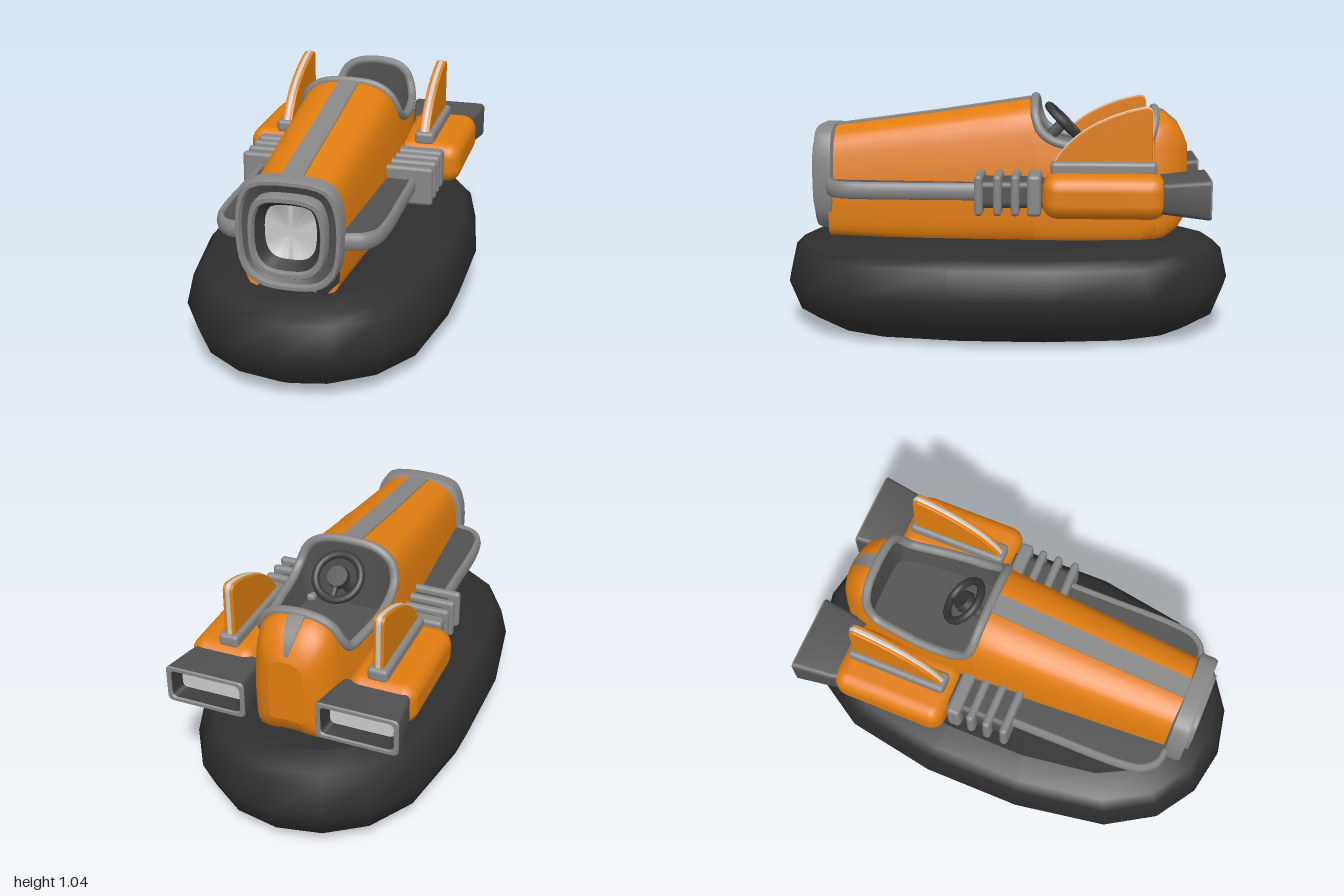
import * as THREE from 'three';
import { toCreasedNormals } from 'three/addons/utils/BufferGeometryUtils.js';
import { RoundedBoxGeometry } from 'three/addons/geometries/RoundedBoxGeometry.js';

const paint = (name, color) => {
  const m = new THREE.MeshStandardMaterial({ color, side: THREE.DoubleSide });
  m.name = name;
  return m;
};
const V = (x, y, z) => new THREE.Vector3(x, y, z);

// Linear lookup in rows sorted by falling z
function lookup(rows, z) {
  let i = 0;
  while (i < rows.length - 2 && z < rows[i + 1][0]) i++;
  const [a, b] = [rows[i], rows[i + 1]];
  const t = THREE.MathUtils.clamp((z - a[0]) / (b[0] - a[0]), 0, 1);
  return a.map((v, k) => v + (b[k] - v) * t);
}

// Skin through rings of points, with optional flat end caps
function loft(rings, { closed = true, capStart = false, capEnd = false } = {}) {
  const pos = [], idx = [], n = rings[0].length;
  rings.forEach(r => r.forEach(p => pos.push(p.x, p.y, p.z)));
  for (let i = 0; i < rings.length - 1; i++)
    for (let j = 0; j < (closed ? n : n - 1); j++) {
      const a = i * n + j, b = i * n + (j + 1) % n;
      idx.push(a, b, a + n, b, b + n, a + n);
    }
  const cap = (ring, flip) => {
    const start = pos.length / 3, c = V(0, 0, 0);
    ring.forEach(p => { c.addScaledVector(p, 1 / n); pos.push(p.x, p.y, p.z); });
    pos.push(c.x, c.y, c.z);
    for (let j = 0; j < n; j++) {
      const a = start + j, b = start + (j + 1) % n;
      idx.push(...(flip ? [b, a, start + n] : [a, b, start + n]));
    }
  };
  if (capStart) cap(rings[0], true);
  if (capEnd) cap(rings[rings.length - 1], false);
  const g = new THREE.BufferGeometry();
  g.setAttribute('position', new THREE.Float32BufferAttribute(pos, 3));
  g.setIndex(idx);
  g.computeVertexNormals();
  return g;
}

// Hull stations: z, half width, bottom, top
const HULL = [[.78, .2, .42, .89], [.3, .225, .4, .955], [-.13, .245, .4, 1.02], [-.4, .237, .4, 1.0],
  [-.6, .205, .4, .99], [-.7, .185, .42, .96], [-.76, .155, .46, .91], [-.79, .12, .5, .855], [-.805, .08, .54, .82]];
// Height of the cockpit edge along z
const EDGE = [[-.13, 1.02], [-.131, 1.01], [-.133, .985], [-.137, .95], [-.16, .89], [-.2, .855], [-.25, .835],
  [-.35, .82], [-.5, .815], [-.6, .82], [-.64, .87], [-.652, .92], [-.658, .955], [-.66, .972]];

// Half section of the hull from keel to cockpit edge or roof
function halfSection(z) {
  const [, w, b, t] = lookup(HULL, z), h = t - b;
  const curve = new THREE.CatmullRomCurve3([[0, 0], [.88, 0], [1, .25], [.96, .62], [.78, .9], [.4, .99], [0, 1]]
    .map(([x, y]) => V(x * w, b + y * h, z)));
  let end = 1;
  if (z < -.13 && z > -.66) {
    const y = lookup(EDGE, z)[1];
    let lo = .4;
    for (let k = 0; k < 25; k++) {
      const mid = (lo + end) / 2;
      if (curve.getPoint(mid).y < y) lo = mid; else end = mid;
    }
  }
  return Array.from({ length: 25 }, (_, i) => curve.getPoint(end * i / 24));
}
const flipX = p => V(-p.x, p.y, p.z);

export function createModel() {
  const orange = paint('orange paint', 0xe07c10), rubber = paint('black rubber', 0x2e2e2e);
  const grey = paint('grey trim', 0x868686), dark = paint('dark grey', 0x525252);
  const light = paint('light panel', 0xcacaca), black = paint('charcoal', 0x383838);
  const model = new THREE.Group();
  const add = (parent, name, geo, mat) => {
    const m = new THREE.Mesh(geo, mat);
    m.name = name;
    parent.add(m);
    return m;
  };
  const box = (parent, name, mat, size, at, r) => add(parent, name, new RoundedBoxGeometry(...size, 3, r), mat).position.set(...at);

  // Inflated skirt: a faceted oval that bulges at mid height
  const quarter = [[0, 1], [.21, .96], [.39, .84], [.52, .63], [.59, .22]];
  const half = [...quarter, ...quarter.slice(1).reverse().map(([x, z]) => [x, -z]), [0, -1]];
  const oval = [...half, ...half.slice(1, -1).reverse().map(([x, z]) => [-x, z])];
  const skirtRings = [[.41, .18], [.38, .07], [.34, .03], [.21, 0], [.08, .05], [0, .18]]
    .map(([y, s]) => oval.map(([x, z]) => V(x * (1 - s / .59), y, z * (1 - s))));
  add(model, 'skirt', loft(skirtRings, { capStart: true, capEnd: true }), rubber);

  // Hull shell, open over the cockpit
  const cockpitZ = EDGE.map(e => e[0]);
  const hullZ = [.78, .3, 0, ...cockpitZ, -.7, -.73, -.76, -.79, -.805];
  const hullRings = hullZ.map(z => {
    const s = halfSection(z);
    return [...s.slice().reverse(), ...s.slice(1).map(flipX)];
  });
  add(model, 'hull', loft(hullRings, { closed: false, capEnd: true }), orange);

  // Cockpit rim and tub
  const edge = cockpitZ.map(z => halfSection(z)[24]);
  const rimPath = new THREE.CatmullRomCurve3([...edge, ...edge.slice(1, -1).reverse().map(flipX)], true);
  add(model, 'cockpitRim', new THREE.TubeGeometry(rimPath, 120, .02, 8, true), grey);
  const tub = edge.map(p => {
    const side = [V(p.x * .97, p.y, p.z), V(p.x * .85, .7, p.z)];
    return [...side, ...side.slice().reverse().map(flipX)];
  });
  add(model, 'cockpitTub', toCreasedNormals(loft(tub, { closed: false }), .6), dark);

  // Steering wheel
  const wheel = new THREE.Group();
  wheel.name = 'steeringWheel';
  wheel.position.set(0, .91, -.26);
  wheel.rotation.x = -2.36;
  add(wheel, 'wheelRing', new THREE.TorusGeometry(.1, .018, 10, 32), black);
  const hub = add(wheel, 'wheelHub', new THREE.CylinderGeometry(.045, .05, .03, 20), black);
  hub.rotation.x = Math.PI / 2;
  box(wheel, 'wheelSpoke', black, [.025, .1, .02], [0, .05, 0], .008);
  const column = add(wheel, 'steeringColumn', new THREE.CylinderGeometry(.025, .025, .2, 12), dark);
  column.rotation.x = Math.PI / 2;
  column.position.z = -.11;
  model.add(wheel);

  // Centre stripes on hood and tail
  const stripe = (name, rows) => add(model, name, toCreasedNormals(loft(rows.map(([z, w]) => {
    const y = lookup(HULL, z)[3];
    return [V(w, y - .012, z), V(w, y + .006, z), V(-w, y + .006, z), V(-w, y - .012, z)];
  }), { capStart: true, capEnd: true }), .6), grey);
  stripe('hoodStripe', [[.78, .045], [.3, .045], [-.13, .045]]);
  stripe('tailStripe', [[-.66, .035], [-.7, .034], [-.76, .026], [-.795, .008]]);

  // Nose intake: nested rings from the outer collar to the bright panel
  const noseCurve = new THREE.CatmullRomCurve3([[0, 1], [.74, .9], [.93, .62], [1, .05], [.9, -.62], [.6, -.92],
    [0, -1], [-.6, -.92], [-.9, -.62], [-1, .05], [-.93, .62], [-.74, .9]].map(([x, y]) => V(x, y, 0)), true);
  const nosePts = noseCurve.getPoints(48).slice(0, 48);
  const nose = (name, mat, rows, capEnd = false) => add(model, name, toCreasedNormals(loft(
    rows.map(([s, z]) => nosePts.map(p => V(p.x * .22 * s, .665 + p.y * .237 * s, z))), { capEnd }), .7), mat);
  nose('noseCollar', grey, [[.9, .755], [1, .765], [1, .825], [.97, .84], [.91, .84], [.88, .82]]);
  nose('noseRecess', dark, [[.88, .82], [.7, .795]]);
  nose('noseInnerRing', grey, [[.73, .795], [.73, .85], [.71, .858], [.64, .858], [.61, .84]]);
  nose('noseThroat', black, [[.61, .84], [.49, .79]]);
  nose('nosePanel', light, [[.5, .792], [.49, .79]], true);

  // Everything on the left flank, mirrored afterwards
  const flank = new THREE.Group();
  flank.name = 'leftFlank';
  box(flank, 'enginePod', orange, [.3, .185, .52], [.352, .637, -.435], .065);
  [.095, .015, -.06, -.14].forEach((z, i) =>
    box(flank, 'podCollar', grey, [.28, .175, i === 3 ? .06 : .036], [.295, .637, z], .017));
  box(flank, 'podNeck', dark, [.22, .12, .3], [.29, .637, -.04], .03);

  // Side intake with a rail round its edge
  const railPath = new THREE.CatmullRomCurve3([[.345, -.1], [.345, .3], [.342, .6], [.325, .7], [.28, .752], [.2, .77]]
    .map(([x, z]) => V(x, 0, z)));
  const rail = add(flank, 'intakeRail', new THREE.TubeGeometry(railPath, 40, .018, 8), grey);
  rail.scale.y = 2.1;
  rail.position.y = .642;
  const panelShape = new THREE.Shape([new THREE.Vector2(.1, -.1),
    ...railPath.getPoints(24).map(p => new THREE.Vector2(p.x, p.z)), new THREE.Vector2(.1, .77)]);
  const panel = add(flank, 'intakePanel', new THREE.ExtrudeGeometry(panelShape, { depth: .05, bevelEnabled: false }), dark);
  panel.rotation.x = Math.PI / 2;
  panel.position.y = .667;

  // Tail fin with a light core showing along its edge
  const finShape = new THREE.Shape();
  finShape.moveTo(.22, .75);
  finShape.quadraticCurveTo(.27, .86, .4, .93);
  finShape.quadraticCurveTo(.51, .985, .61, 1.0);
  finShape.quadraticCurveTo(.632, 1.0, .632, .97);
  finShape.lineTo(.635, .75);
  const fin = (name, mat, depth, grow) => {
    const g = new THREE.ExtrudeGeometry(finShape, { depth, bevelThickness: .006, bevelSize: grow, bevelSegments: 2, curveSegments: 10 });
    g.translate(0, 0, -depth / 2);
    const m = add(flank, name, g, mat);
    m.rotation.y = Math.PI / 2;
    m.position.x = .328;
  };
  fin('fin', orange, .034, .004);
  fin('finEdge', light, .01, .008);
  box(flank, 'finBase', grey, [.09, .06, .45], [.33, .745, -.433], .018);

  // Exhaust nozzle: flared rounded rectangle with a bright inset
  const rect = (hw, hh, z) => {
    const pts = [], r = .022;
    [[1, 1], [-1, 1], [-1, -1], [1, -1]].forEach(([sx, sy], q) => {
      for (let k = 0; k <= 4; k++) {
        const a = (q + k / 4) * Math.PI / 2;
        pts.push(V(.33 + sx * (hw - r) + r * Math.cos(a), .637 + sy * (hh - r) + r * Math.sin(a), z));
      }
    });
    return pts;
  };
  const nozzle = (name, mat, rows, capEnd = false) =>
    add(flank, name, toCreasedNormals(loft(rows.map(r => rect(...r)), { capEnd }), .7), mat);
  nozzle('nozzle', dark, [[.145, .065, -.66], [.155, .068, -.7], [.176, .085, -.87]]);
  nozzle('nozzleLip', grey, [[.176, .085, -.87], [.172, .081, -.877], [.158, .067, -.877], [.154, .063, -.87]]);
  nozzle('nozzleThroat', black, [[.154, .063, -.87], [.136, .046, -.81]]);
  nozzle('nozzlePanel', light, [[.137, .047, -.813], [.136, .046, -.811]], true);

  const right = flank.clone();
  right.name = 'rightFlank';
  right.scale.x = -1;
  model.add(flank, right);
  return model;
}
